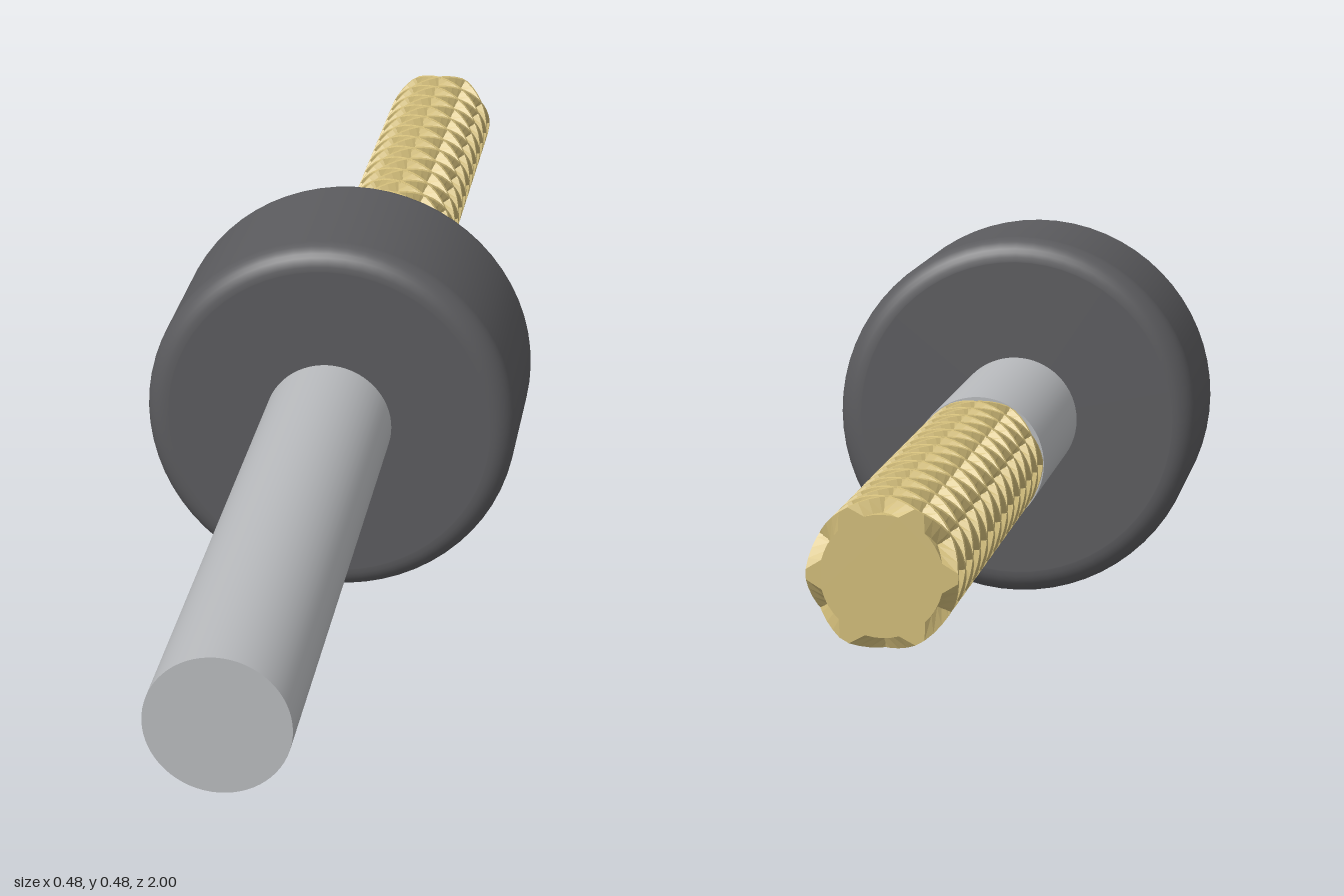
import * as THREE from 'three';

const steel = new THREE.MeshStandardMaterial({ color: 0xb8babd });
steel.name = 'steel';
const rubber = new THREE.MeshStandardMaterial({ color: 0x5b5b5e });
rubber.name = 'darkGrey';
const brass = new THREE.MeshStandardMaterial({ color: 0xd2bd7a });
brass.name = 'brass';

const AXIS_Y = 0.24;

function addPart(group, name, geometry, material) {
  const mesh = new THREE.Mesh(geometry, material);
  mesh.name = name;
  mesh.position.y = AXIS_Y;
  group.add(mesh);
}

// Cylindrical shaft along z
function shaft(radius, z0, z1) {
  return new THREE.CylinderGeometry(radius, radius, z1 - z0, 64)
    .rotateX(Math.PI / 2)
    .translate(0, 0, (z0 + z1) / 2);
}

// Drum with rounded rims, turned around z
function drum(radius, fillet, z0, z1) {
  const pts = [new THREE.Vector2(0, z0), new THREE.Vector2(radius - fillet - 0.001, z0)];
  for (const [cz, start] of [[z0 + fillet, -Math.PI / 2], [z1 - fillet, 0]]) {
    for (let i = 0; i <= 8; i++) {
      const a = start + (i / 8) * Math.PI / 2;
      pts.push(new THREE.Vector2(radius - fillet + fillet * Math.cos(a), cz + fillet * Math.sin(a)));
    }
  }
  pts.push(new THREE.Vector2(radius - fillet - 0.001, z1), new THREE.Vector2(0, z1));
  return new THREE.LatheGeometry(pts, 64).rotateX(Math.PI / 2);
}

// Toothed profile extruded along z and twisted into helical ridges
function helicalRidges(direction, z0, z1) {
  const teeth = 6, root = 0.066, tip = 0.081, rows = 13;
  const pitch = (Math.PI * 2) / teeth;
  const profile = [[-14, root], [-4, tip], [4, tip], [14, root], [22, root], [30, root], [38, root]];
  const pts = [];
  for (let t = 0; t < teeth; t++) {
    for (const [deg, r] of profile) {
      const a = t * pitch + THREE.MathUtils.degToRad(deg);
      pts.push(new THREE.Vector2(r * Math.cos(a), r * Math.sin(a)));
    }
  }
  const depth = z1 - z0;
  const geo = new THREE.ExtrudeGeometry(new THREE.Shape(pts), { depth, steps: 104, bevelEnabled: false });
  const pos = geo.attributes.position;
  for (let i = 0; i < pos.count; i++) {
    const x = pos.getX(i), y = pos.getY(i), z = pos.getZ(i);
    const a = direction * rows * pitch * z / depth;
    pos.setXY(i, x * Math.cos(a) - y * Math.sin(a), x * Math.sin(a) + y * Math.cos(a));
  }
  geo.computeVertexNormals();
  return geo.translate(0, 0, z0);
}

export function createModel() {
  const model = new THREE.Group();
  model.name = 'knurledPin';

  addPart(model, 'rod', shaft(0.082, -0.36, 1), steel);
  addPart(model, 'collar', drum(0.24, 0.03, -0.045, 0.212), rubber);

  // Crossed left- and right-hand ridges form the diamond knurl
  addPart(model, 'knurlRightHand', helicalRidges(1, -1, -0.36), brass);
  addPart(model, 'knurlLeftHand', helicalRidges(-1, -1, -0.36), brass);

  return model;
}
